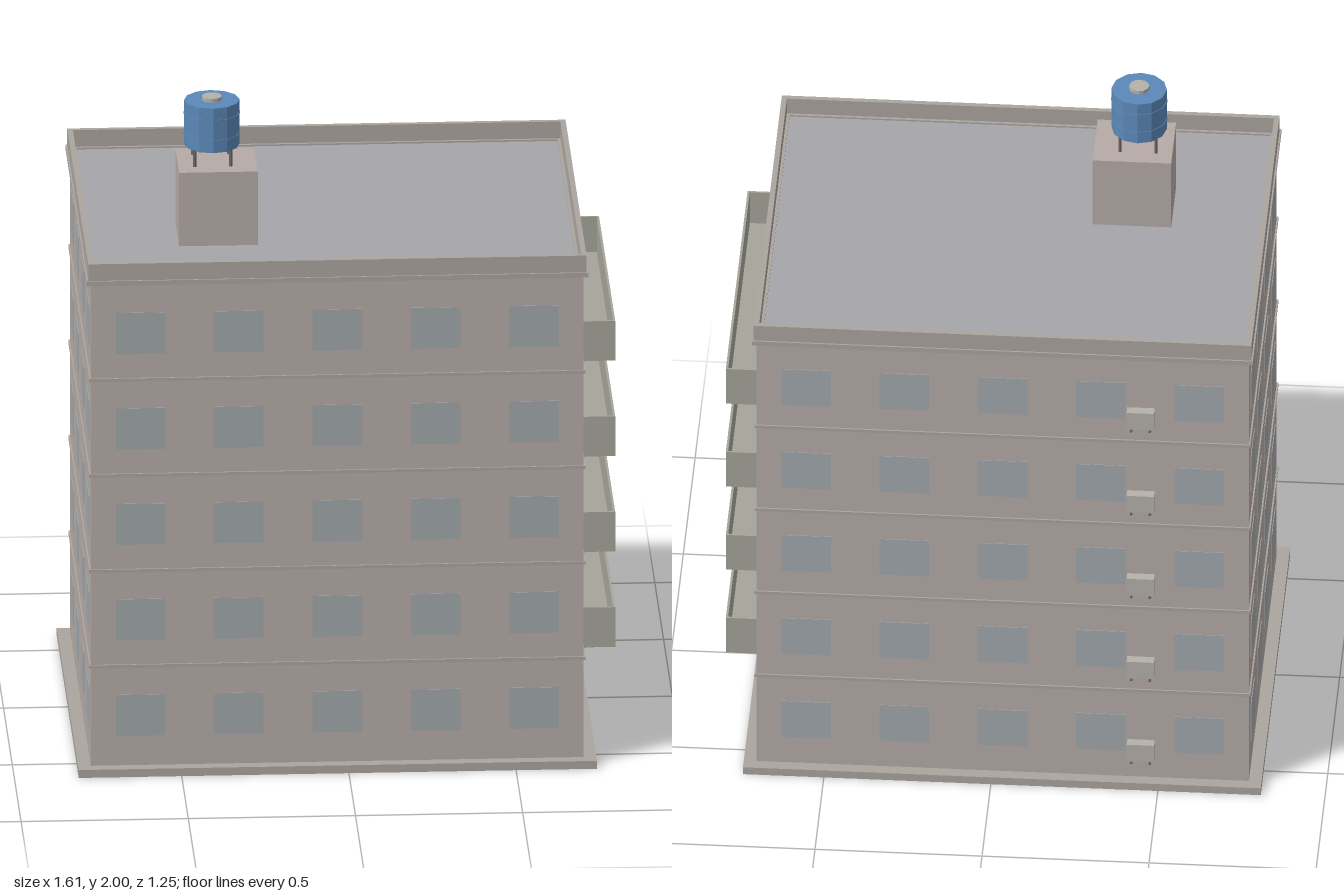
import * as THREE from 'three';

const mat = (color) => new THREE.MeshStandardMaterial({ color, flatShading: true });
const WALL = mat(0xb5aaa5), TRIM = mat(0xaaa49e), ROOF = mat(0xa4a4aa), GLASS = mat(0xa0a7ab),
  BALCONY = mat(0xa5a49a), METAL = mat(0x666666), FRAME = mat(0xbdb8b2), TANK = mat(0x5b88b8), AC = mat(0xb4b1ab);

const CX = -0.033;              // centre of the block in x
const HX = 0.737, HZ = 0.59;    // half width and half depth of the walls
const STOREY = 0.303, FLOORS = 5;

export function createModel() {
  const model = new THREE.Group();
  model.name = 'apartmentBlock';

  const add = (name, geo, material, x, y, z, parent = model) => {
    const m = new THREE.Mesh(geo, material);
    m.name = name;
    m.position.set(x, y, z);
    parent.add(m);
    return m;
  };
  // box given by its minimum and maximum corners
  const box = (name, material, x0, x1, y0, y1, z0, z1, parent) =>
    add(name, new THREE.BoxGeometry(x1 - x0, y1 - y0, z1 - z0), material,
      (x0 + x1) / 2, (y0 + y1) / 2, (z0 + z1) / 2, parent);
  // rectangular ring lying flat
  const ring = (name, material, hx, hz, t, y0, y1) => {
    const rect = (P, a, b) => new P([[-a, -b], [a, -b], [a, b], [-a, b]].map((p) => new THREE.Vector2(...p)));
    const s = rect(THREE.Shape, hx, hz);
    s.holes.push(rect(THREE.Path, hx - t, hz - t));
    const g = new THREE.ExtrudeGeometry(s, { depth: y1 - y0, bevelEnabled: false });
    g.rotateX(-Math.PI / 2);
    add(name, g, material, CX, y0, 0);
  };
  // slanted round bar between two points
  const bar = (name, a, b, r, parent) => {
    const d = b.clone().sub(a), mid = a.clone().add(b).multiplyScalar(0.5);
    const m = add(name, new THREE.CylinderGeometry(r, r, d.length(), 8), METAL, mid.x, mid.y, mid.z, parent);
    m.quaternion.setFromUnitVectors(new THREE.Vector3(0, 1, 0), d.normalize());
  };
  const V = (x, y, z) => new THREE.Vector3(x, y, z);

  // main volume
  box('plinth', TRIM, CX - 0.775, CX + 0.775, 0, 0.025, -0.626, 0.626);
  box('walls', WALL, CX - HX, CX + HX, 0.025, 1.555, -HZ, HZ);
  box('roof', ROOF, CX - 0.731, CX + 0.731, 1.55, 1.562, -0.586, 0.586);
  ring('cornice', TRIM, 0.75, 0.604, 0.03, 1.552, 1.567);
  ring('parapet', TRIM, 0.745, 0.599, 0.016, 1.562, 1.62);

  const right = CX + HX, back = -HZ;
  for (let f = 0; f < FLOORS; f++) {
    const y = 0.037 + f * STOREY;
    const floor = new THREE.Group();
    floor.name = `storey${f + 1}`;
    model.add(floor);

    // windows on all four sides
    const pane = (x, z, w, d) => add('window', new THREE.BoxGeometry(w, 0.13, d), GLASS, x, y + 0.147, z, floor);
    for (const s of [-1, 1]) {
      for (let i = -2; i <= 2; i++) pane(CX + i * 0.294, s * HZ, 0.148, 0.004);
      for (let i = -1.5; i <= 1.5; i++) pane(CX + s * HX, i * 0.295, 0.004, 0.148);
    }

    // air conditioner on the back wall
    const ay = 0.1 + f * STOREY;
    box('airConditioner', AC, -0.488, -0.406, ay, ay + 0.06, -0.62, back + 0.005, floor);
    for (const x of [-0.475, -0.419]) {
      box('airConditionerArm', METAL, x - 0.003, x + 0.003, ay - 0.006, ay, -0.626, back, floor);
      bar('airConditionerBracket', V(x, ay - 0.026, back), V(x, ay - 0.003, -0.623), 0.003, floor);
    }
    if (f === 0) continue;

    // storey band
    box('storeyBand', TRIM, CX - HX - 0.005, right + 0.005, y - 0.005, y + 0.005, -HZ - 0.005, HZ + 0.005, floor);

    // balcony door with frame
    const top = y + 0.238;
    box('balconyDoor', GLASS, right - 0.002, right + 0.003, y - 0.005, top - 0.012, -0.046, 0.046, floor);
    for (const s of [-1, 1])
      add('doorJamb', new THREE.BoxGeometry(0.012, 0.243, 0.012), FRAME, right, top - 0.1215, s * 0.052, floor);
    box('doorHead', FRAME, right - 0.006, right + 0.006, top - 0.012, top, -0.058, 0.058, floor);

    // balcony: slab, front and end panels, brackets
    const by = y - 0.013, bt = by + 0.126, bx = 0.805, bz = 0.463, t = 0.007;
    box('balconySlab', BALCONY, right - 0.002, bx, by, by + 0.014, -bz, bz, floor);
    box('balconyFront', BALCONY, bx - t, bx, by, bt, -bz, bz, floor);
    for (const s of [-1, 1]) {
      add('balconyEnd', new THREE.BoxGeometry(bx - right, bt - by, t), BALCONY,
        (bx + right) / 2, (by + bt) / 2, s * (bz - t / 2), floor);
      bar('balconyBracket', V(right, by - 0.05, s * 0.332), V(0.79, by + 0.004, s * 0.332), 0.007, floor);
    }
  }

  // rooftop housing with water tank
  box('roofHousing', WALL, -0.49, -0.255, 1.555, 1.795, 0.08, 0.293);
  const tank = new THREE.Group();
  tank.name = 'waterTank';
  tank.position.set(-0.387, 0, 0.187);
  model.add(tank);
  const cyl = (name, r, y0, y1, material, x = 0, z = 0, n = 12) =>
    add(name, new THREE.CylinderGeometry(r, r, y1 - y0, n), material, x, (y0 + y1) / 2, z, tank);
  cyl('tankBody', 0.083, 1.847, 1.988, TANK);
  for (const y of [1.884, 1.948]) cyl('tankHoop', 0.085, y - 0.003, y + 0.003, TANK);
  cyl('tankLid', 0.03, 1.985, 2, AC);
  for (const x of [-1, 1]) for (const z of [-1, 1])
    cyl('tankLeg', 0.005, 1.79, 1.85, METAL, x * 0.054, z * 0.054, 8);

  return model;
}
